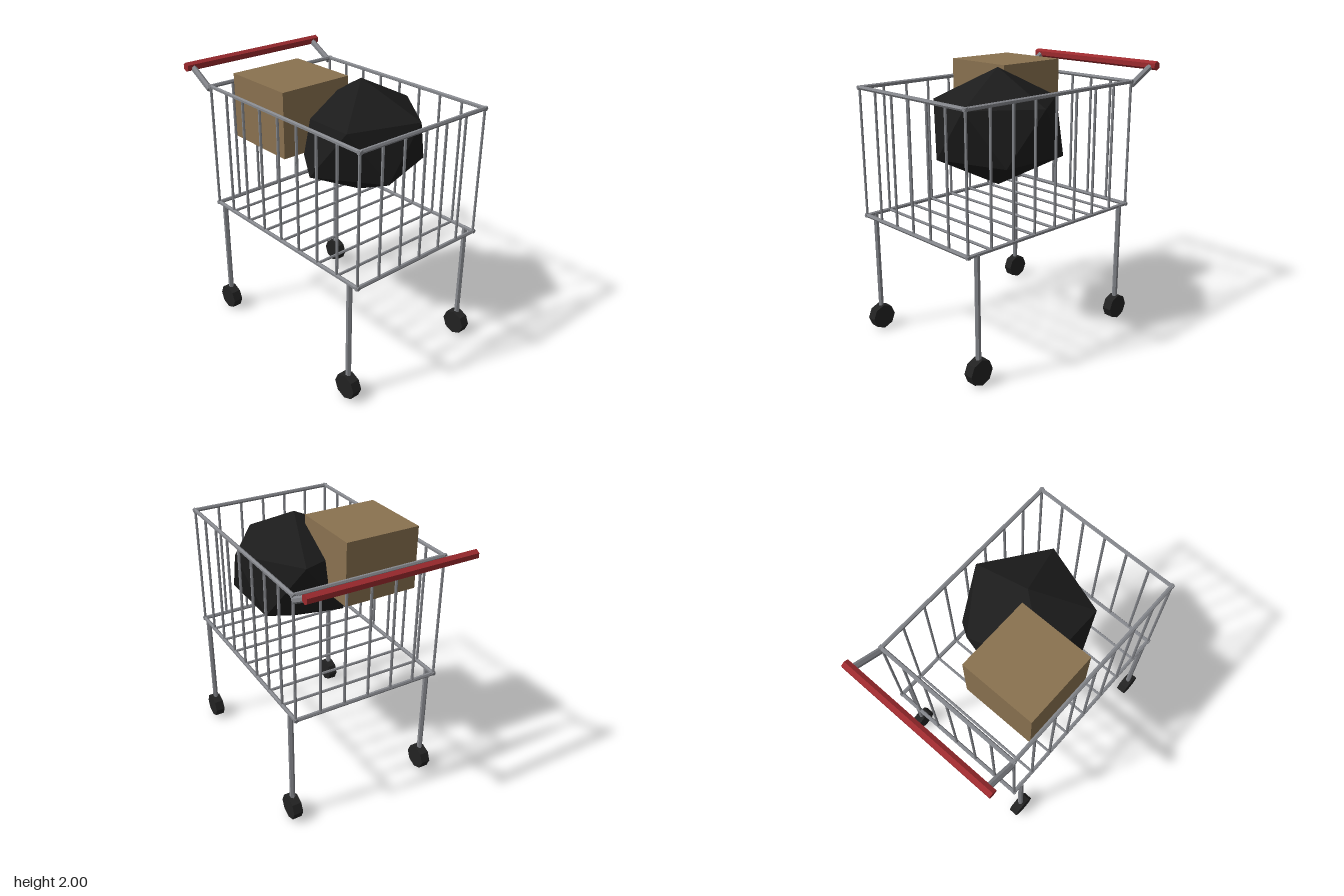
import * as THREE from 'three';
import { ConvexGeometry } from 'three/addons/geometries/ConvexGeometry.js';

function material(name, color) {
  const m = new THREE.MeshStandardMaterial({ color, flatShading: true });
  m.name = name;
  return m;
}

export function createModel() {
  const metal = material('grey metal', 0x85878c);
  const red = material('red handle', 0x9c2a2e);
  const rubber = material('black rubber', 0x222222);
  const plastic = material('black plastic', 0x1c1c1c);
  const cardboard = material('brown cardboard', 0x8a7250);

  const cart = new THREE.Group();
  cart.name = 'shoppingCart';
  const basket = new THREE.Group();
  basket.name = 'basket';
  cart.add(basket);

  // Straight rod between two points
  function rod(parent, name, a, b, radius, mat, sides = 6, twist = 0) {
    const from = new THREE.Vector3(...a), to = new THREE.Vector3(...b);
    const dir = to.clone().sub(from);
    const geo = new THREE.CylinderGeometry(radius, radius, dir.length(), sides, 1, false, twist);
    const mesh = new THREE.Mesh(geo, mat);
    mesh.name = name;
    mesh.position.copy(from).add(to).multiplyScalar(0.5);
    mesh.quaternion.setFromUnitVectors(new THREE.Vector3(0, 1, 0), dir.normalize());
    parent.add(mesh);
  }

  const X = 0.565, front = 0.918, back = -0.66, low = 0.925, high = 1.86;
  const railR = 0.015, wireR = 0.01, end = 0.015;

  // Basket rims, bottom and top
  for (const y of [low, high]) {
    for (const z of [front, back]) rod(basket, 'crossRail', [-X - end, y, z], [X + end, y, z], railR, metal);
    for (const x of [-X, X]) rod(basket, 'sideRail', [x, y, back - end], [x, y, front + end], railR, metal);
  }

  // Upright wires of the front and back
  for (let i = 0; i <= 6; i++) {
    const x = -X + (2 * X * i) / 6;
    for (const z of [front, back]) rod(basket, 'endWire', [x, low, z], [x, high, z], wireR, metal);
  }

  // Upright wires of the sides and floor wires
  for (let i = 1; i < 8; i++) {
    const z = back + ((front - back) * i) / 8;
    for (const x of [-X, X]) rod(basket, 'sideWire', [x, low, z], [x, high, z], wireR, metal);
    rod(basket, 'floorWire', [-X, low, z], [X, low, z], wireR, metal);
  }

  for (const x of [-X, X]) {
    // Legs and wheels
    for (const z of [0.845, -0.583]) {
      rod(cart, 'leg', [x, 0.1, z], [x, low, z], 0.02, metal);
      rod(cart, 'wheel', [x - 0.036, 0.094, z], [x + 0.036, 0.094, z], 0.094, rubber, 8);
    }
    // Handle arms
    rod(cart, 'handleArm', [x, 1.835, -0.675], [x, 1.957, -0.9], 0.023, metal);
  }

  // Push handle
  rod(cart, 'handle', [-0.617, 1.957, -0.9], [0.617, 1.957, -0.9], 0.034, red, 6, Math.PI / 6);

  // Cardboard box
  const box = new THREE.Mesh(new THREE.BoxGeometry(0.565, 0.465, 0.56), cardboard);
  box.name = 'cardboardBox';
  box.position.set(-0.228, 1.767, -0.155);
  cart.add(box);

  // Faceted bag: two poles and two staggered rings of five
  const points = [new THREE.Vector3(0, 0.42, 0), new THREE.Vector3(0, -0.42, 0)];
  for (let i = 0; i < 5; i++) {
    const a = (i * Math.PI * 2) / 5;
    const x = 0.465 * Math.cos(a), z = 0.465 * Math.sin(a);
    points.push(new THREE.Vector3(x, 0.188, z), new THREE.Vector3(-x, -0.188, -z));
  }
  const bag = new THREE.Mesh(new ConvexGeometry(points), plastic);
  bag.name = 'bag';
  bag.position.set(0.09, 1.58, 0.22);
  cart.add(bag);

  return cart;
}
